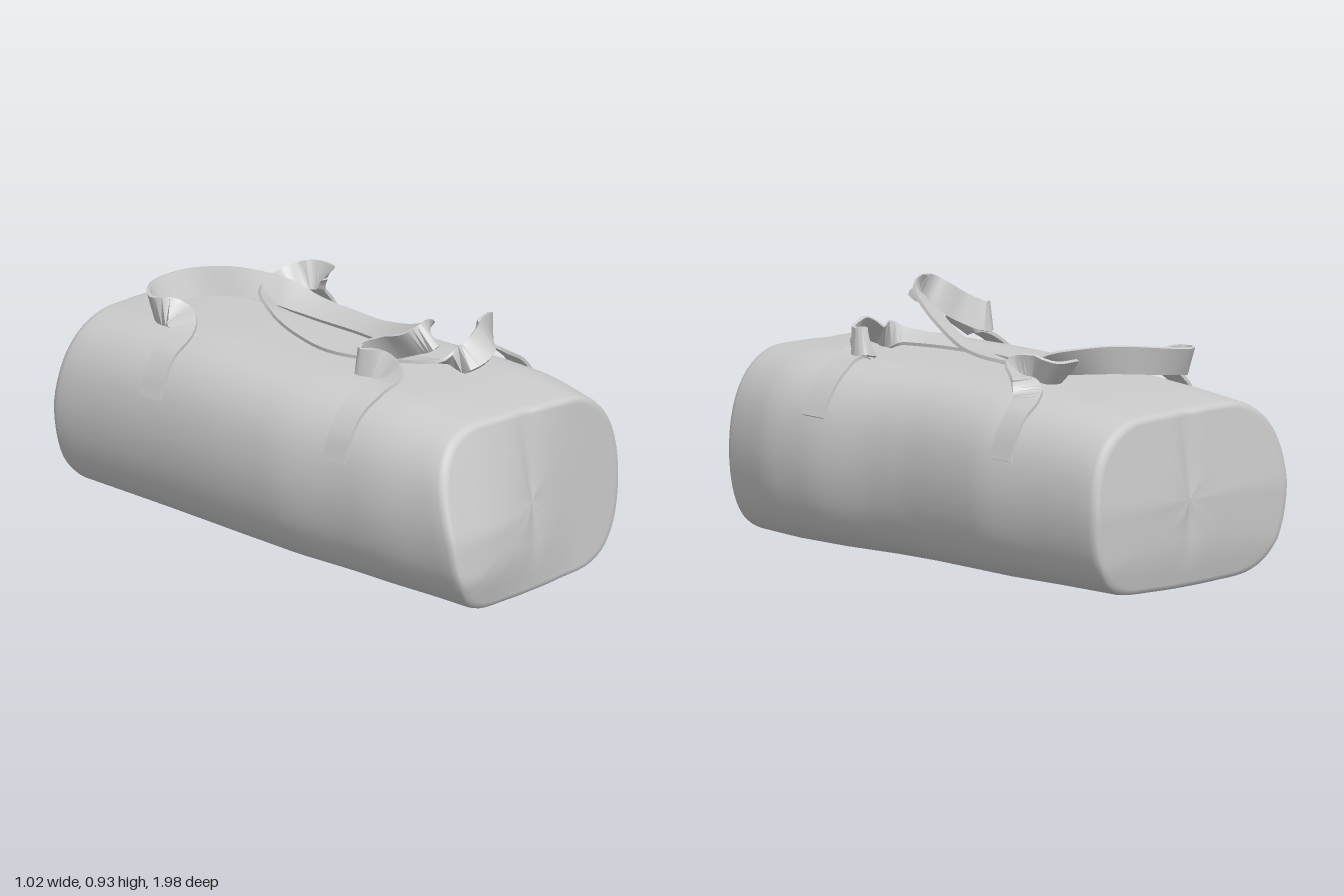
import * as THREE from 'three';
import { toCreasedNormals } from 'three/addons/utils/BufferGeometryUtils.js';

const V = (x, y, z) => new THREE.Vector3(x, y, z);

// Straight-line lookup in a list of [key, value] pairs
function lookup(table, k) {
  if (k <= table[0][0]) return table[0][1];
  for (let i = 1; i < table.length; i++) {
    const [k0, v0] = table[i - 1], [k1, v1] = table[i];
    if (k <= k1) return v0 + (v1 - v0) * (k - k0) / (k1 - k0);
  }
  return table[table.length - 1][1];
}

// Skin over closed rings that run clockwise as seen against the travel direction
function loft(rings) {
  const n = rings[0].length, index = [];
  for (let i = 0; i < rings.length - 1; i++) {
    for (let j = 0; j < n; j++) {
      const a = i * n + j, b = i * n + (j + 1) % n;
      index.push(a, a + n, b, b, a + n, b + n);
    }
  }
  const geo = new THREE.BufferGeometry().setFromPoints(rings.flat());
  geo.setIndex(index);
  geo.computeVertexNormals();
  return geo;
}

// Soft bag body: one rounded profile, its width and height varying along z
const LEFT = [[-0.95, 0.475], [-0.5, 0.487], [-0.15, 0.503], [0.15, 0.512], [0.4, 0.49], [0.6, 0.485], [0.8, 0.467], [0.95, 0.463]];
const RIGHT = [[-0.95, 0.475], [-0.65, 0.48], [-0.4, 0.498], [-0.2, 0.48], [0, 0.463], [0.2, 0.467], [0.45, 0.505], [0.7, 0.505], [0.93, 0.455]];
const TOP = [[-0.95, 0.665], [-0.7, 0.685], [-0.35, 0.7], [0.3, 0.7], [0.65, 0.695], [0.93, 0.672]];
const BOTTOM = [[-0.95, 0.025], [0, 0.015], [0.93, 0.004]];
const FRONT_SLANT = [[0, 0.04], [0.15, 0.08], [0.3, 0.065], [0.67, -0.065]];
const BACK_BULGE = [[0, 0.94], [0.15, 0.975], [0.35, 0.985], [0.67, 0.955]];

function bodyGeometry() {
  const half = [[0.3, 1], [0.58, 0.985], [0.8, 0.895], [0.94, 0.74], [1, 0.5], [0.955, 0.25], [0.84, 0.1], [0.66, 0.025], [0.33, 0.005]];
  const points = [[0, 1], ...half, [0, 0], ...half.map(([x, y]) => [-x, y]).reverse()];
  const profile = new THREE.CatmullRomCurve3(points.map(([x, y]) => V(x, y, 0)), true).getPoints(72).slice(0, 72);

  const endZ = (front, x, y) => {
    const seam = 0.012 * Math.exp(-((x / 0.03) ** 2)) * THREE.MathUtils.clamp((y - 0.1) / 0.15, 0, 1);
    if (!front) return -lookup(BACK_BULGE, y) + seam;
    const k = THREE.MathUtils.clamp((0.2 - x) / 0.5, 0, 1);
    return 0.912 + k * lookup(FRONT_SLANT, y) - seam;
  };
  const ring = (u, scale) => profile.map(p => {
    const z = u * 0.95, top = lookup(TOP, z), bottom = lookup(BOTTOM, z);
    const x = p.x * lookup(p.x < 0 ? LEFT : RIGHT, z) * scale;
    const y = (bottom + top) / 2 + (p.y - 0.5) * (top - bottom) * scale;
    return V(x, y, Math.abs(u) * endZ(u > 0, x, y));
  });

  const capScales = [0, 0.2, 0.4, 0.6, 0.8, 0.93, 0.97];
  const rings = capScales.map(s => ring(-1, s));
  rings.push(ring(-0.99, 0.99));
  for (let i = 0; i <= 32; i++) rings.push(ring(-0.97 + 1.94 * i / 32, 1));
  rings.push(ring(0.99, 0.99), ...capScales.map(s => ring(1, s)).reverse());
  return loft(rings);
}

// Webbing strap: each row is a centre point followed by the direction of its width
function strapGeometry(rows, halfWidth = 0.052, thickness = 0.006) {
  const path = new THREE.CatmullRomCurve3(rows.map(r => V(r[0], r[1], r[2])));
  const widths = new THREE.CatmullRomCurve3(rows.map(r => V(r[3], r[4], r[5])));
  const steps = (rows.length - 1) * 5, rings = [];
  for (let i = 0; i <= steps; i++) {
    const t = i / steps, c = path.getPoint(t), tangent = path.getTangent(t);
    const w = widths.getPoint(t);
    w.addScaledVector(tangent, -w.dot(tangent)).setLength(halfWidth);
    const n = tangent.cross(w).setLength(thickness);
    rings.push([[1, 1], [1, -1], [-1, -1], [-1, 1]].map(([a, b]) => c.clone().addScaledVector(w, a).addScaledVector(n, b)));
  }
  const closeEnd = r => {
    const c = r.reduce((s, p) => s.add(p), V(0, 0, 0)).divideScalar(4);
    return r.map(() => c.clone());
  };
  rings.unshift(closeEnd(rings[0]));
  rings.push(closeEnd(rings[rings.length - 1]));
  return toCreasedNormals(loft(rings), 0.7);
}

// Handle sewn to the -x side, standing up in a loop at the front
const RIGHT_HANDLE = [
  [-0.495, 0.49, 0.43, 0, 0, 1], [-0.46, 0.585, 0.43, 0, 0, 1], [-0.4, 0.66, 0.43, 0, 0, 1],
  [-0.31, 0.715, 0.44, 0, 0, 1], [-0.23, 0.74, 0.45, 0.1, 0.3, 1], [-0.215, 0.77, 0.38, 0.5, 0.8, 0.3],
  [-0.27, 0.785, 0.33, 0, 1, 0.2], [-0.23, 0.79, 0.31, 0, 1, 0.2], [-0.18, 0.82, 0.37, -0.3, 1, 0.2],
  [-0.16, 0.86, 0.48, -0.5, 0.7, -0.2], [-0.12, 0.89, 0.53, -0.2, 0.6, -0.7], [-0.05, 0.86, 0.43, 0.7, 0.6, 0.3],
  [0.02, 0.79, 0.24, 1, 0.5, 0.2], [0.09, 0.745, 0, 1, 0.2, 0], [0.115, 0.74, -0.28, 1, 0.4, 0],
  [0.09, 0.77, -0.42, 0.5, 0.9, -0.2], [0, 0.79, -0.57, 0.2, 1, -0.1], [-0.12, 0.785, -0.67, 0, 1, -0.3],
  [-0.24, 0.77, -0.69, 0, 1, -0.4], [-0.32, 0.755, -0.63, -0.3, 1, 0], [-0.3, 0.75, -0.53, 0.7, 0.5, 0.2],
  [-0.33, 0.72, -0.48, 0.4, 0.1, 1], [-0.41, 0.65, -0.485, 0, 0, 1], [-0.455, 0.585, -0.485, 0, 0, 1], [-0.488, 0.5, -0.485, 0, 0, 1],
];

// Handle sewn to the +x side, slumped flat across the top
const LEFT_HANDLE = [
  [0.503, 0.515, 0.42, 0, 0, 1], [0.465, 0.59, 0.42, 0, 0, 1], [0.41, 0.655, 0.42, 0, 0, 1],
  [0.32, 0.71, 0.42, 0, 0, 1], [0.27, 0.735, 0.4, 0.2, 0.3, 1], [0.3, 0.765, 0.36, -0.4, 0.9, 0.4],
  [0.34, 0.77, 0.38, 0.1, 1, 0], [0.28, 0.785, 0.43, -0.1, 0.9, -0.3], [0.2, 0.78, 0.49, -0.1, 0.7, -0.6],
  [0.11, 0.75, 0.51, -0.1, 0.5, -0.8], [0.03, 0.735, 0.44, -0.8, 0.3, 0.5], [-0.03, 0.725, 0.28, -1, 0.1, 0.3],
  [-0.075, 0.715, 0.08, -1, 0, 0], [-0.045, 0.715, -0.12, -1, 0, 0], [0.01, 0.72, -0.3, -1, 0.2, 0],
  [0.05, 0.74, -0.42, -0.7, 0.7, -0.4], [0.13, 0.75, -0.47, 0, 0.8, -0.6], [0.21, 0.76, -0.48, 0.1, 0.8, -0.6],
  [0.26, 0.78, -0.44, 0.5, 0.8, 0], [0.31, 0.77, -0.41, 0.5, 0.7, 0.4], [0.32, 0.735, -0.47, 0.9, 0.2, 0.6],
  [0.36, 0.695, -0.52, 0.3, 0, 1], [0.42, 0.64, -0.525, 0, 0, 1], [0.46, 0.58, -0.525, 0, 0, 1], [0.493, 0.49, -0.525, 0, 0, 1],
];

export function createModel() {
  const group = new THREE.Group();
  group.name = 'duffelBag';
  const material = new THREE.MeshStandardMaterial({ color: 0xcccccc });
  const add = (name, geometry) => {
    const mesh = new THREE.Mesh(geometry, material);
    mesh.name = name;
    group.add(mesh);
  };
  add('bagBody', bodyGeometry());
  add('rightHandle', strapGeometry(RIGHT_HANDLE));
  add('leftHandle', strapGeometry(LEFT_HANDLE));
  return group;
}
